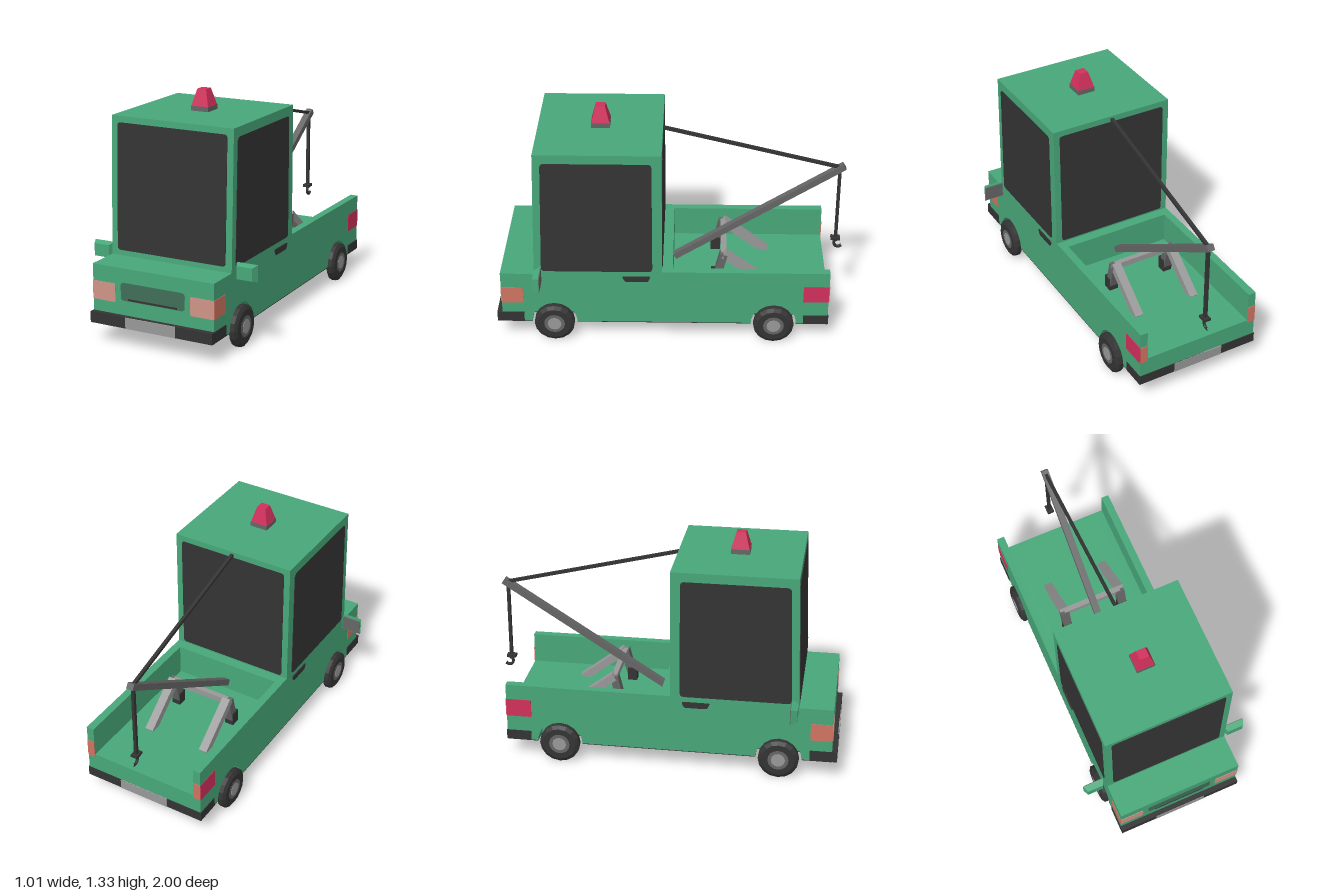
import * as THREE from 'three';

const mat = (name, color) => {
  const m = new THREE.MeshStandardMaterial({ color });
  m.name = name;
  return m;
};

export function createModel() {
  const truck = new THREE.Group();
  truck.name = 'towTruck';
  const green = mat('greenPaint', 0x48a87a);
  const dark = mat('darkTrim', 0x343434);
  const lightGrey = mat('lightGrey', 0x999999);
  const midGrey = mat('midGrey', 0x666666);
  const red = mat('crimsonLens', 0xd2305c);
  const orange = mat('orangeLens', 0xd07562);
  const pink = mat('paleLens', 0xd09488);
  const grilleGreen = mat('grilleGreen', 0x3f6f57);

  const add = (name, geo, material, x = 0, y = 0, z = 0) => {
    const m = new THREE.Mesh(geo, material);
    m.name = name;
    m.position.set(x, y, z);
    truck.add(m);
    return m;
  };
  // box given by its lower and upper corners
  const box = (name, material, x0, x1, y0, y1, z0, z1) =>
    add(name, new THREE.BoxGeometry(x1 - x0, y1 - y0, z1 - z0), material,
      (x0 + x1) / 2, (y0 + y1) / 2, (z0 + z1) / 2);
  // polygon with softened corners
  const softPoly = (pts, r) => {
    const s = new THREE.Shape();
    const v = pts.map(p => new THREE.Vector2(...p));
    v.forEach((p, i) => {
      const toward = q => p.clone().add(q.clone().sub(p).setLength(r));
      const a = toward(v[(i + v.length - 1) % v.length]);
      const b = toward(v[(i + 1) % v.length]);
      if (i) s.lineTo(a.x, a.y); else s.moveTo(a.x, a.y);
      s.quadraticCurveTo(p.x, p.y, b.x, b.y);
    });
    s.closePath();
    return s;
  };
  const softRect = (w, h, r) =>
    softPoly([[-w / 2, -h / 2], [w / 2, -h / 2], [w / 2, h / 2], [-w / 2, h / 2]], r);
  const extrude = (shape, depth) =>
    new THREE.ExtrudeGeometry(shape, { depth, bevelEnabled: false, curveSegments: 8 })
      .translate(0, 0, -depth / 2);
  // extrusion of a (z, y) outline across x
  const sideways = (shape, depth) => extrude(shape, depth).rotateY(-Math.PI / 2);
  // square bar between two points
  const bar = (name, material, a, b, w, h = w) => {
    const p = new THREE.Vector3(...a), q = new THREE.Vector3(...b);
    const m = add(name, new THREE.BoxGeometry(w, h, p.distanceTo(q)), material);
    m.position.copy(p).add(q).multiplyScalar(0.5);
    m.lookAt(q);
    return m;
  };

  // Cab, hood and bulkhead in one outline
  const cab = new THREE.Shape([[-0.01, 0.28], [0.97, 0.28], [0.97, 0.44], [0.777, 0.44],
    [0.75, 1.21], [0.05, 1.21], [0.05, 0.46], [-0.01, 0.46]].map(p => new THREE.Vector2(...p)));
  add('cab', sideways(cab, 0.74), green);
  box('chassis', green, -0.28, 0.28, 0.115, 0.28, -0.9, 0.97);
  box('underside', dark, -0.28, 0.28, 0.111, 0.115, -0.9, 0.97);

  // Lower side rail with wheel arches
  const rail = new THREE.Shape();
  rail.moveTo(-0.9, 0.115);
  for (const z of [-0.59, 0.67]) {
    rail.lineTo(z - 0.13, 0.115);
    rail.absarc(z, 0.115, 0.13, Math.PI, 0, true);
  }
  rail.lineTo(0.97, 0.115);
  rail.lineTo(0.97, 0.28);
  rail.lineTo(-0.9, 0.28);
  rail.closePath();

  // Tyre cross-section, turned about the axle
  const tyre = new THREE.LatheGeometry([[0.05, -0.0275], [0.095, -0.0275], [0.116, -0.015],
    [0.116, 0.015], [0.095, 0.0275], [0.05, 0.0275]].map(p => new THREE.Vector2(...p)), 16)
    .toNonIndexed();
  tyre.computeVertexNormals();

  const sideGlass = softPoly([[0.105, 0.462], [0.735, 0.462], [0.71, 1.157], [0.105, 1.157]], 0.025);

  for (const s of [-1, 1]) {
    const side = s > 0 ? 'left' : 'right';
    const sbox = (name, material, x0, x1, ...r) =>
      box(side + name, material, Math.min(s * x0, s * x1), Math.max(s * x0, s * x1), ...r);

    add(side + 'Rail', sideways(rail, 0.09), green, s * 0.325);
    sbox('BedWall', green, 0.325, 0.37, 0.28, 0.46, -0.9, -0.01);
    for (const [a, b] of [[-0.9, -0.72], [-0.46, 0.54], [0.8, 0.97]])
      sbox('Underside', dark, 0.28, 0.37, 0.111, 0.115, a, b);

    // Glass and door handle
    add(side + 'Window', sideways(sideGlass, 0.006), dark, s * 0.37);
    const handle = softPoly([[0.13, 0.395], [0.26, 0.395], [0.277, 0.43], [0.115, 0.43]], 0.012);
    add(side + 'DoorHandle', sideways(handle, 0.01), dark, s * 0.37);

    // Lamps wrapping around the corners
    add(side + 'Headlight', extrude(softRect(0.14, 0.104, 0.01), 0.006), pink, s * 0.3, 0.295, 0.97);
    sbox('SideMarker', orange, 0.369, 0.373, 0.243, 0.347, 0.845, 0.97);
    sbox('TailLightSide', red, 0.369, 0.373, 0.265, 0.37, -0.9, -0.755);
    sbox('TailLightRear', orange, 0.325, 0.37, 0.265, 0.37, -0.904, -0.899);

    // Bumper ends
    sbox('FrontBumperEnd', dark, 0.365, 0.374, 0.115, 0.177, 0.845, 1.0);
    sbox('RearBumperEnd', dark, 0.365, 0.374, 0.115, 0.172, -0.904, -0.76);

    // Door mirror: square frustum with glass behind
    const mirror = new THREE.CylinderGeometry(0.053, 0.0707, 0.036, 4, 1).rotateY(Math.PI / 4)
      .rotateX(Math.PI / 2).scale(1.24, 0.95, 1).toNonIndexed();
    mirror.computeVertexNormals();
    add(side + 'Mirror', mirror, green, s * 0.442, 0.447, 0.755);
    sbox('MirrorGlass', midGrey, 0.385, 0.499, 0.404, 0.49, 0.733, 0.737);

    // Wheels
    for (const [end, z] of [['Front', 0.67], ['Rear', -0.59]]) {
      const wheel = new THREE.Group();
      wheel.name = side + end + 'Wheel';
      const part = (name, geo, m) => {
        const mesh = new THREE.Mesh(geo, m);
        mesh.name = name;
        wheel.add(mesh);
      };
      part('tyre', tyre, dark);
      part('rim', new THREE.CylinderGeometry(0.06, 0.06, 0.056, 16), midGrey);
      part('hub', new THREE.CylinderGeometry(0.04, 0.04, 0.06, 12), lightGrey);
      wheel.rotation.z = Math.PI / 2;
      wheel.position.set(s * 0.3725, 0.116, z);
      truck.add(wheel);
    }

    // Crane frame legs
    bar(side + 'RearLeg', lightGrey, [s * 0.18, 0.27, -0.56], [s * 0.18, 0.47, -0.3], 0.05, 0.045);
    bar(side + 'FrontLeg', midGrey, [s * 0.18, 0.28, -0.255], [s * 0.18, 0.47, -0.3], 0.05, 0.045);
    sbox('LegFoot', dark, 0.153, 0.207, 0.28, 0.36, -0.285, -0.23);
  }

  // Windscreen and rear window
  const glass = extrude(softRect(0.666, 0.705, 0.02), 0.006);
  add('windscreen', glass, dark, 0, 0.8225, 0.764).rotation.x = -0.035;
  add('rearWindow', glass, dark, 0, 0.8225, 0.05);

  // Nose: grille, bumpers, plates
  add('grille', extrude(softRect(0.39, 0.1, 0.02), 0.006), grilleGreen, 0, 0.31, 0.97);
  box('grilleSlot', dark, -0.15, 0.15, 0.264, 0.274, 0.97, 0.976);
  box('frontBumper', dark, -0.37, 0.37, 0.115, 0.177, 0.965, 1.0);
  box('frontPlate', lightGrey, -0.153, 0.153, 0.115, 0.177, 0.995, 1.002);
  box('rearBumper', dark, -0.37, 0.37, 0.115, 0.172, -0.904, -0.898);
  box('rearPlate', lightGrey, -0.153, 0.153, 0.115, 0.172, -0.907, -0.9);

  // Roof beacon
  box('beaconBase', midGrey, -0.053, 0.053, 1.21, 1.237, 0.345, 0.451);
  const lens = new THREE.CylinderGeometry(0.038, 0.073, 0.093, 4, 1).rotateY(Math.PI / 4).toNonIndexed();
  lens.computeVertexNormals();
  add('beaconLens', lens, red, 0, 1.283, 0.398);

  // Crane boom, cables and hook
  box('crossBar', lightGrey, -0.18, 0.18, 0.445, 0.48, -0.317, -0.285);
  bar('boom', midGrey, [0, 0.335, -0.015], [0, 0.952, -0.98], 0.04, 0.036);
  bar('stayCable', dark, [0, 1.19, 0.05], [0, 0.943, -0.96], 0.018);
  bar('hoistCable', dark, [0, 0.94, -0.955], [0, 0.45, -0.957], 0.018);
  box('hookBlock', dark, -0.02, 0.02, 0.462, 0.478, -0.982, -0.928);
  const hook = new THREE.CatmullRomCurve3([[0.46, -0.957], [0.435, -0.948], [0.413, -0.96],
    [0.41, -0.98], [0.42, -0.993]].map(([y, z]) => new THREE.Vector3(0, y, z)));
  add('hook', new THREE.TubeGeometry(hook, 10, 0.009, 6), dark);

  return truck;
}
